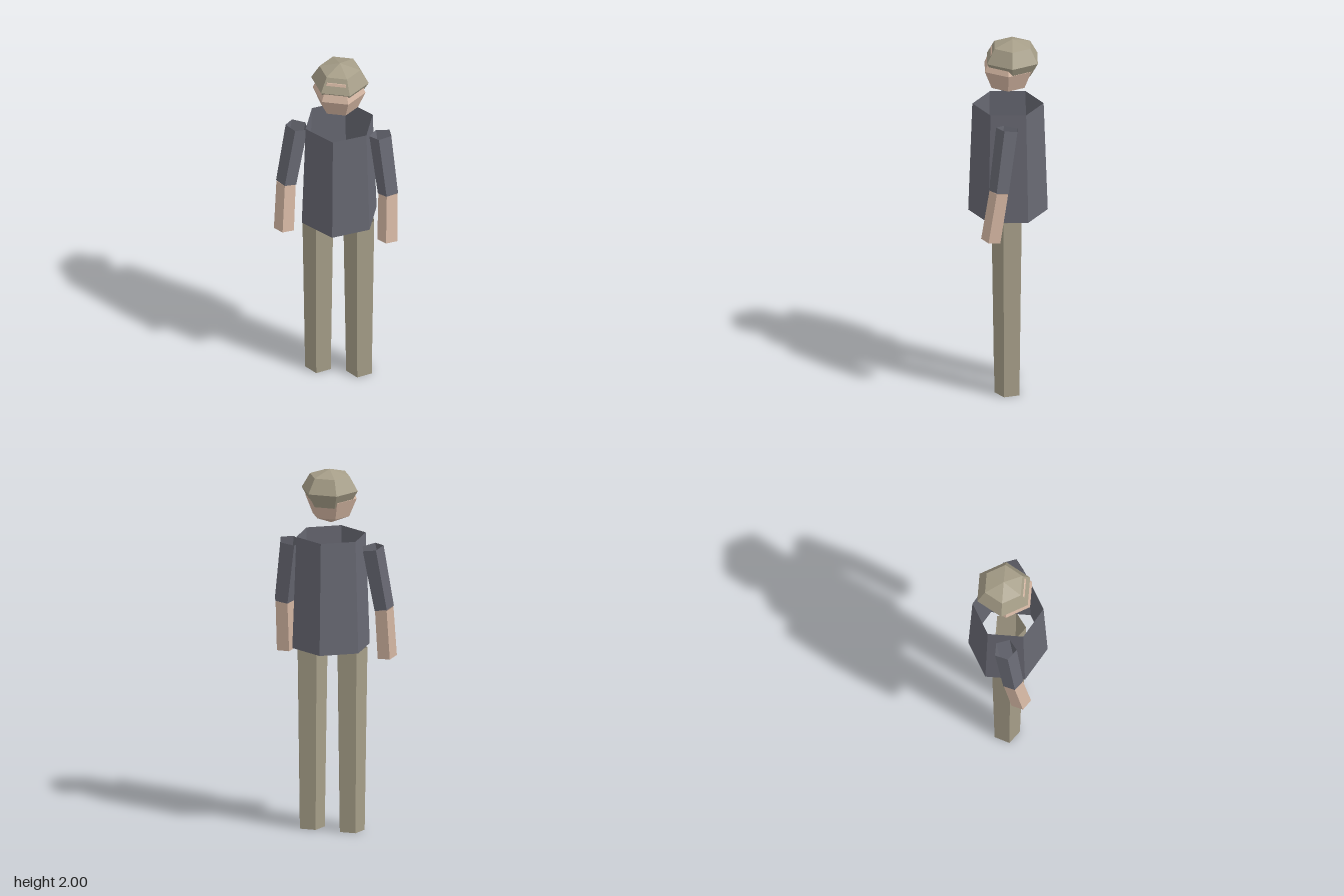
import * as THREE from 'three';

const flat = (name, color) => {
  const m = new THREE.MeshStandardMaterial({ color, flatShading: true, side: THREE.DoubleSide });
  m.name = name;
  return m;
};

export function createModel() {
  const shirt = flat('slate shirt', 0x686973);
  const khaki = flat('khaki', 0xa69e88);
  const skin = flat('skin', 0xd6b8a4);
  const model = new THREE.Group();
  model.name = 'figure';

  // Open, faceted tube running from a top point to a bottom point
  function tube(name, top, bottom, rTop, rBottom, sides, material) {
    const a = new THREE.Vector3(...top);
    const b = new THREE.Vector3(...bottom);
    const axis = a.clone().sub(b);
    const mesh = new THREE.Mesh(
      new THREE.CylinderGeometry(rTop, rBottom, axis.length(), sides, 1, true), material);
    mesh.quaternion.setFromUnitVectors(new THREE.Vector3(0, 1, 0), axis.normalize());
    mesh.position.copy(a).add(b).multiplyScalar(0.5);
    mesh.name = name;
    model.add(mesh);
  }

  // Six-sided low-poly ball, optionally squashed in height
  function ball(name, radius, height, y, z, material) {
    const mesh = new THREE.Mesh(
      new THREE.SphereGeometry(radius, 6, 4).scale(1, height / radius, 1), material);
    mesh.position.set(0, y, z);
    mesh.name = name;
    model.add(mesh);
  }

  // Head, with the hair as a flattened ball set back over it
  ball('head', 0.143, 0.143, 1.84, 0, skin);
  ball('hair', 0.156, 0.112, 1.888, -0.023, khaki);

  // Flared torso
  tube('torso', [0, 1.628, 0], [0, 1.013, 0], 0.19, 0.212, 6, shirt);

  // Mirrored limbs
  for (const [side, s] of [['left', 1], ['right', -1]]) {
    const elbow = [s * 0.276, 1.235, 0.047];
    tube(side + 'Sleeve', [s * 0.227, 1.576, 0.003], elbow, 0.063, 0.058, 5, shirt);
    tube(side + 'Forearm', elbow, [s * 0.28, 0.955, 0.09], 0.055, 0.057, 5, skin);
    tube(side + 'Leg', [s * 0.111, 1.013, 0], [s * 0.111, 0, 0], 0.088, 0.073, 5, khaki);
  }
  return model;
}
